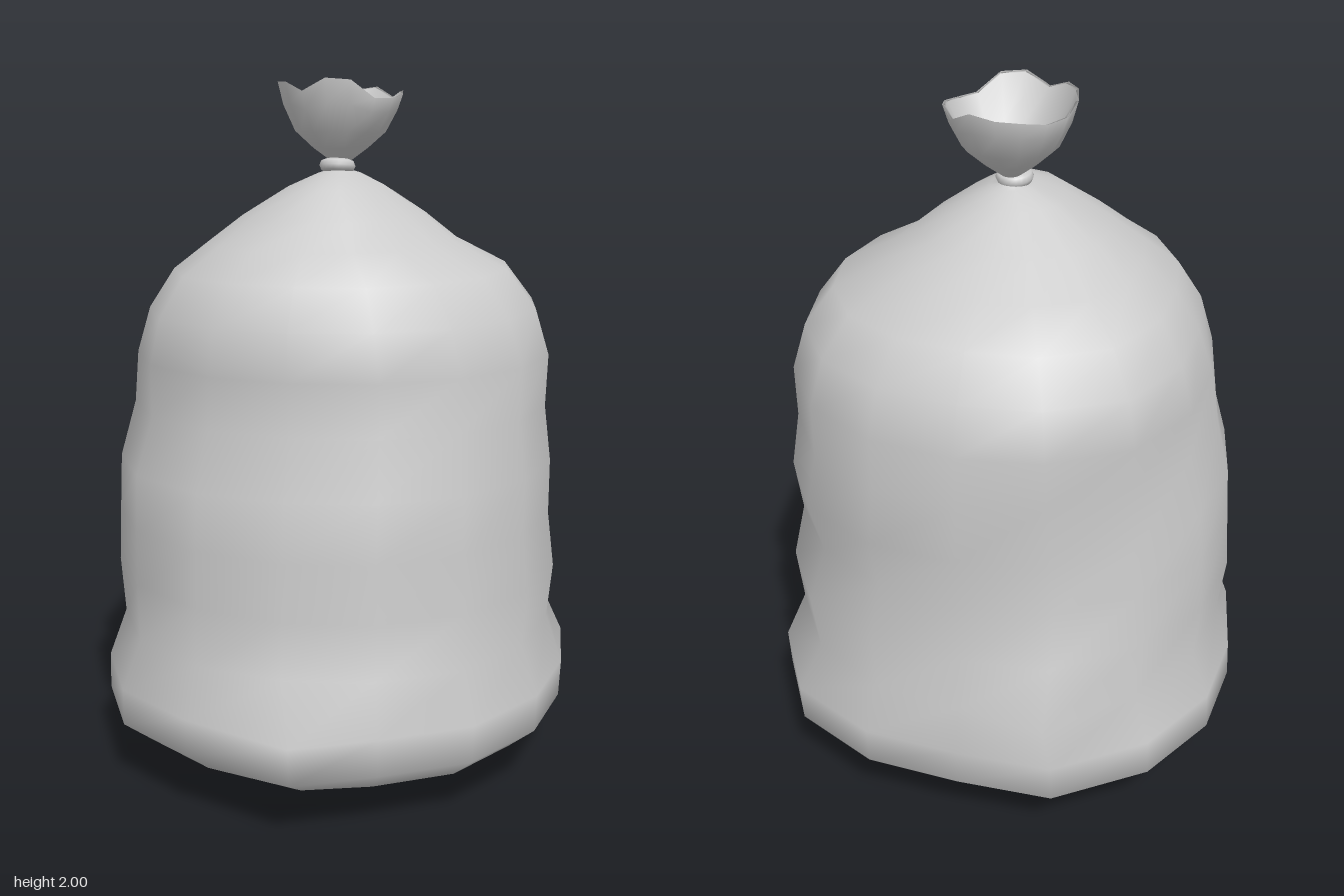
import * as THREE from 'three';

const SEG = 16;
const CZ = -0.04; // axis of the sack, slightly behind the origin
const grey = new THREE.MeshStandardMaterial({ color: 0xcccccc, side: THREE.DoubleSide });

// Skin a stack of rings (bottom to top along the surface) with smooth normals
function loft(rings) {
  const index = [];
  for (let i = 0; i < rings.length - 1; i++) {
    for (let j = 0; j < SEG; j++) {
      const k = (j + 1) % SEG;
      const a = i * SEG + j, b = i * SEG + k, c = a + SEG, d = b + SEG;
      index.push(a, c, b, b, c, d);
    }
  }
  const g = new THREE.BufferGeometry();
  g.setAttribute('position', new THREE.Float32BufferAttribute(rings.flat(2), 3));
  g.setIndex(index);
  g.computeVertexNormals();
  return g;
}

function ring(point) {
  return Array.from({ length: SEG }, (_, j) => point((j / SEG) * Math.PI * 2, j));
}

function add(group, name, geometry) {
  const m = new THREE.Mesh(geometry, grey);
  m.name = name;
  group.add(m);
  return m;
}

// Height, then reach towards +x, -x, +z, -z
const BODY = [
  [0.005, 0.005, 0.005, -0.03, 0.045],
  [0.025, 0.25, 0.25, 0.24, 0.27],
  [0.06, 0.46, 0.46, 0.42, 0.49],
  [0.12, 0.60, 0.60, 0.57, 0.63],
  [0.19, 0.68, 0.69, 0.65, 0.70],
  [0.30, 0.685, 0.685, 0.66, 0.705],
  [0.44, 0.635, 0.64, 0.62, 0.68],
  [0.60, 0.65, 0.66, 0.605, 0.67],
  [0.76, 0.63, 0.65, 0.595, 0.645],
  [0.92, 0.63, 0.64, 0.58, 0.67],
  [1.08, 0.61, 0.60, 0.525, 0.655],
  [1.23, 0.615, 0.575, 0.53, 0.66],
  [1.36, 0.575, 0.53, 0.525, 0.62],
  [1.47, 0.49, 0.46, 0.46, 0.54],
  [1.545, 0.34, 0.37, 0.37, 0.42],
  [1.62, 0.25, 0.27, 0.28, 0.29],
  [1.70, 0.13, 0.14, 0.19, 0.16],
  [1.735, 0.06, 0.06, 0.08, 0.10],
  [1.745, 0.025, 0.025, -0.015, 0.065],
  [1.77, 0.025, 0.025, -0.015, 0.065],
];

// Diagonal fullness from a given height: front left, front right, back right, back left
const FULLNESS = [
  [0.00, 0.03, 0.05, 0.06, 0.08],
  [0.40, 0.02, 0.03, 0.03, 0.03],
  [0.55, 0.01, 0.02, 0.01, 0.05],
  [0.70, 0.01, 0.03, 0.01, 0.00],
  [0.85, 0.01, 0.04, 0.00, 0.05],
  [1.00, 0.00, 0.03, -0.01, 0.03],
  [1.15, -0.01, 0.06, 0.07, 0.02],
  [1.30, -0.02, 0.07, 0.10, 0.02],
  [1.50, -0.02, 0.04, 0.06, 0.02],
  [1.65, 0, 0, 0, 0],
];

// Rim height of the gathered neck, around from +x to +z
const RIM = [1.955, 1.945, 1.945, 1.995, 2.0, 1.965, 1.99, 1.99, 1.98, 1.955, 1.95, 1.96, 1.965, 1.975, 1.945, 1.965];

export function createModel() {
  const group = new THREE.Group();
  group.name = 'tiedSack';

  // Slumped body with a front bulge and a rear corner at the base
  const body = BODY.map(([y, xp, xn, zp, zn]) => {
    const full = FULLNESS.findLast((row) => row[0] <= y);
    return ring((t, j) => {
      const c = Math.cos(t), s = Math.sin(t);
      const f = 1 + full[1 + Math.floor(j / 4)] * Math.sin(2 * t) ** 2;
      let x = c * (c > 0 ? xp : xn) * f;
      let z = CZ + s * (s > 0 ? zp - CZ : zn + CZ) * f;
      if (j === 4 && y > 0.1 && y < 0.4) { x += 0.05; z += y > 0.15 ? 0.068 : 0.03; }
      if (j === 11 && y > 0.15 && y < 0.7) z -= y > 0.4 && y < 0.5 ? 0.085 : 0.035;
      return [x, y, z];
    });
  });
  add(group, 'body', loft(body));

  // Tie around the neck
  const tie = add(group, 'tie', new THREE.TorusGeometry(0.033, 0.019, 8, 20));
  tie.rotation.x = Math.PI / 2 - 0.15;
  tie.position.set(-0.005, 1.755, CZ + 0.01);

  // Flared, wavy top: outer wall up to the rim, then the inner wall down to a point
  const wall = [[0.025, 0], [0.08, 0.2], [0.132, 0.43], [0.165, 0.75], [0.181, 1], [0.172, 0.985], [0.125, 0.47], [0.065, 0.23], [0.001, 0.08]];
  const tuft = wall.map(([r, f]) => ring((t, j) => {
    const y = 1.765 + f * (0.2 + (RIM[j] - 1.965) * f * f);
    return [Math.cos(t) * r, y, CZ - 0.01 + Math.sin(t) * r];
  }));
  add(group, 'gatheredTop', loft(tuft));

  return group;
}
